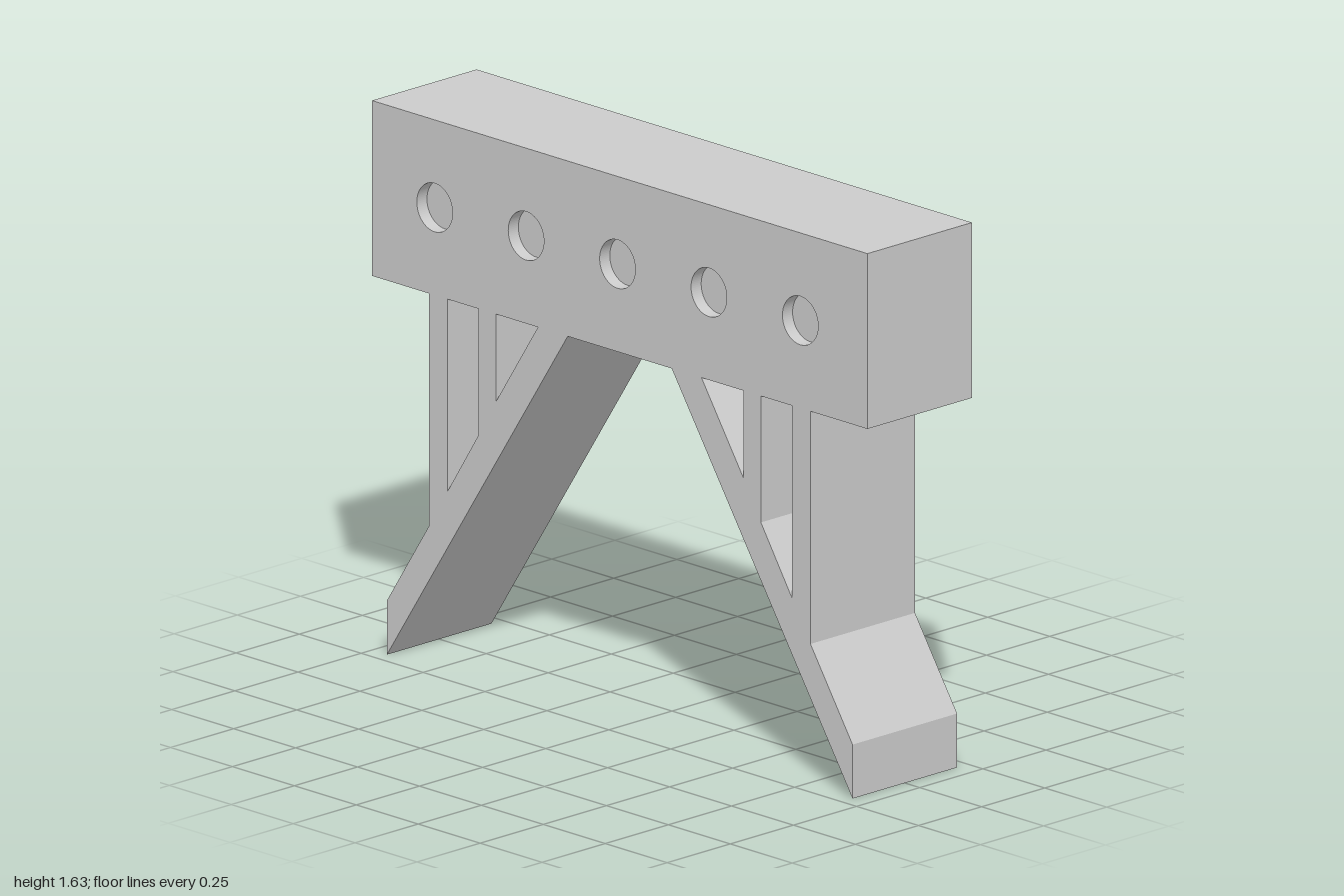
import * as THREE from 'three';

const DEPTH = 0.414;
const BEAM_BOTTOM = 1.11;
const BEAM_TOP = 1.63;
const HOLE = { y: 1.37, radius: 0.072, depth: 0.04, spacing: 0.369, firstX: -0.747 };

const material = new THREE.MeshStandardMaterial({ color: 0xcccccc });

function addMesh(parent, name, geometry) {
  const mesh = new THREE.Mesh(geometry, material);
  mesh.name = name;
  parent.add(mesh);
  return mesh;
}

// Extrude a front outline through the full thickness, centred on z = 0
function extrudeCentred(shape) {
  const geometry = new THREE.ExtrudeGeometry(shape, { depth: DEPTH, bevelEnabled: false, curveSegments: 40 });
  return geometry.translate(0, 0, -DEPTH / 2);
}

function outline(points) {
  return new THREE.Shape(points.map(([x, y]) => new THREE.Vector2(x, y)));
}

// Horizontal beam with a row of shallow round recesses on front and back
function createBeam() {
  const beam = new THREE.Group();
  beam.name = 'beam';
  const shape = outline([[-1, BEAM_BOTTOM], [1, BEAM_BOTTOM], [1, BEAM_TOP], [-1, BEAM_TOP]]);

  for (let i = 0; i < 5; i++) {
    const x = HOLE.firstX + i * HOLE.spacing;
    const hole = new THREE.Path();
    hole.absarc(x, HOLE.y, HOLE.radius, 0, Math.PI * 2, true);
    shape.holes.push(hole);

    // Solid plug whose ends form the recess floors
    const plug = new THREE.CylinderGeometry(HOLE.radius, HOLE.radius, DEPTH - 2 * HOLE.depth, 40);
    plug.rotateX(Math.PI / 2);
    addMesh(beam, 'recessFloor', plug).position.set(x, HOLE.y, 0);
  }

  addMesh(beam, 'beamBody', extrudeCentred(shape));
  return beam;
}

// Splayed leg with two upright struts; the gaps open up to the beam underside
function createLeg(side) {
  const points = [
    [0.21, BEAM_BOTTOM], [0.94, 0], [0.94, 0.16], [0.77, 0.42], [0.77, BEAM_BOTTOM],
    [0.695, BEAM_BOTTOM], [0.695, 0.54], [0.57, 0.735], [0.57, BEAM_BOTTOM],
    [0.5, BEAM_BOTTOM], [0.5, 0.85], [0.33, BEAM_BOTTOM],
  ];
  return extrudeCentred(outline(points.map(([x, y]) => [x * side, y])));
}

export function createModel() {
  const model = new THREE.Group();
  model.name = 'trestle';
  model.add(createBeam());
  addMesh(model, 'leftLeg', createLeg(1));
  addMesh(model, 'rightLeg', createLeg(-1));
  return model;
}
